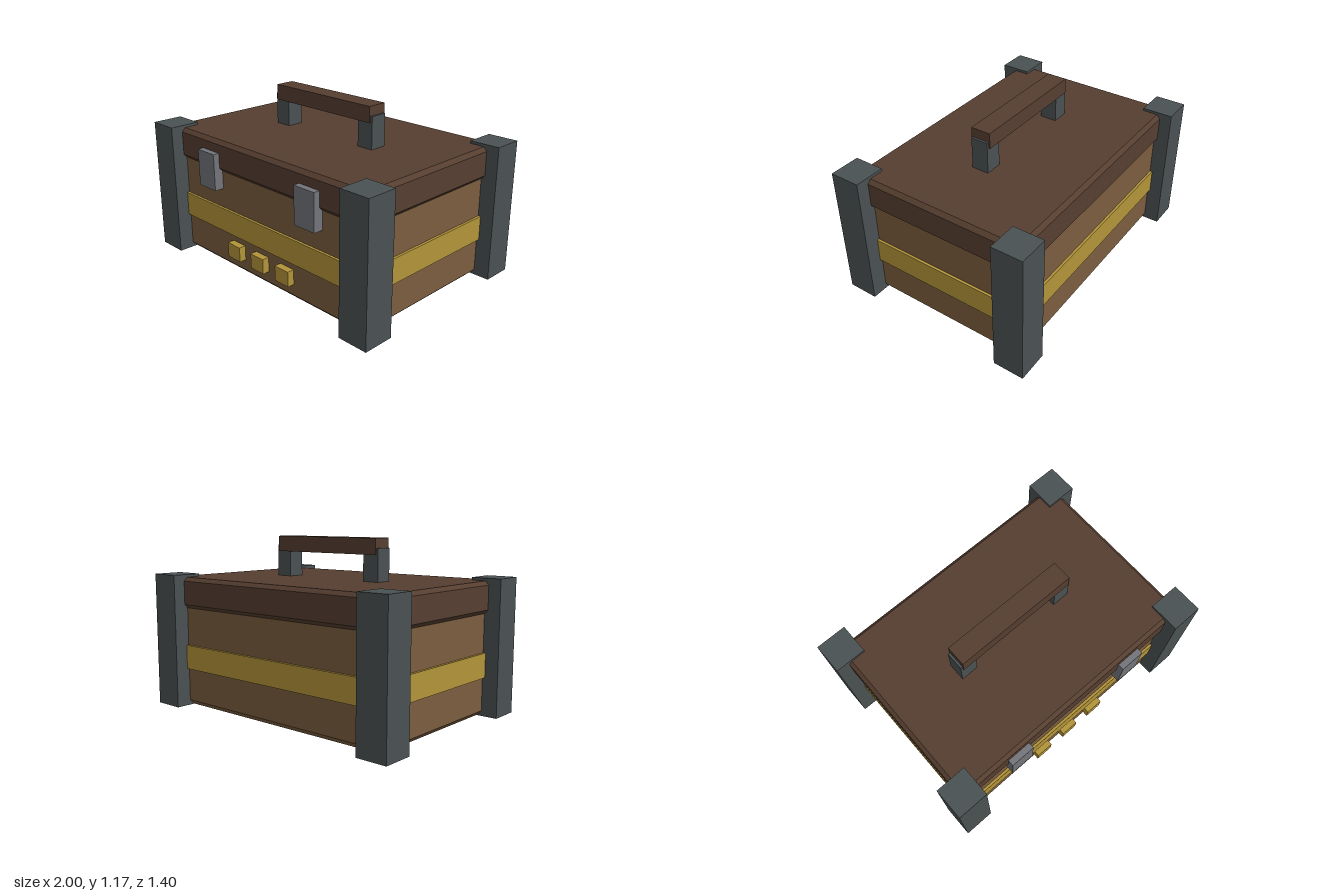
import * as THREE from 'three';

const material = (name, color) => {
  const m = new THREE.MeshStandardMaterial({ color });
  m.name = name;
  return m;
};

export function createModel() {
  const wood = material('wood', 0x7a5d3e);
  const darkWood = material('dark wood', 0x563e30);
  const gold = material('gold', 0xb3943a);
  const iron = material('dark iron', 0x4a5152);
  const steel = material('steel', 0x74757a);

  const model = new THREE.Group();
  model.name = 'chest';

  const add = (name, geometry, mat) => {
    const mesh = new THREE.Mesh(geometry, mat);
    mesh.name = name;
    model.add(mesh);
    return mesh;
  };

  // Plain block given by its extents
  const block = (name, mat, [x0, x1], [y0, y1], [z0, z1]) => {
    const mesh = add(name, new THREE.BoxGeometry(x1 - x0, y1 - y0, z1 - z0), mat);
    mesh.position.set((x0 + x1) / 2, (y0 + y1) / 2, (z0 + z1) / 2);
    return mesh;
  };

  // Block with chamfered top and bottom rims
  const chamferedBlock = (name, mat, halfX, halfZ, y0, y1, inset, rise) => {
    const shape = new THREE.Shape([
      new THREE.Vector2(-halfX, -halfZ), new THREE.Vector2(halfX, -halfZ),
      new THREE.Vector2(halfX, halfZ), new THREE.Vector2(-halfX, halfZ),
    ]);
    const geometry = new THREE.ExtrudeGeometry(shape, {
      depth: y1 - y0 - 2 * rise, bevelEnabled: true, bevelSegments: 1,
      bevelSize: inset, bevelOffset: -inset, bevelThickness: rise,
    });
    geometry.rotateX(-Math.PI / 2);
    add(name, geometry, mat).position.y = y0 + rise;
  };

  // Body, band and lid
  chamferedBlock('body', wood, 0.89, 0.595, 0, 0.72, 0.035, 0.035);
  block('band', gold, [-0.907, 0.907], [0.26, 0.425], [-0.612, 0.612]);
  chamferedBlock('lid', darkWood, 0.915, 0.618, 0.682, 0.895, 0.025, 0.026);

  // Corner posts
  for (const sx of [-1, 1]) {
    for (const sz of [-1, 1]) {
      const post = block('cornerPost', iron, [0.79, 1], [0, 0.913], [0.49, 0.7]);
      post.position.x *= sx;
      post.position.z *= sz;
    }
  }

  // Handle
  for (const s of [-1, 1]) {
    const post = block('handlePost', iron, [0.323, 0.441], [0.88, 1.108], [-0.059, 0.059]);
    post.position.x *= s;
  }
  block('handleGrip', darkWood, [-0.426, 0.426], [1.066, 1.171], [-0.068, 0.068]);

  // Front clasps
  for (const s of [-1, 1]) {
    const clasp = block('clasp', steel, [0.383, 0.553], [0.56, 0.81], [0.58, 0.66]);
    clasp.position.x *= s;
  }

  // Front studs
  for (const x of [-0.237, 0, 0.237]) {
    block('stud', gold, [x - 0.061, x + 0.061], [0.11, 0.212], [0.58, 0.643]);
  }

  return model;
}
